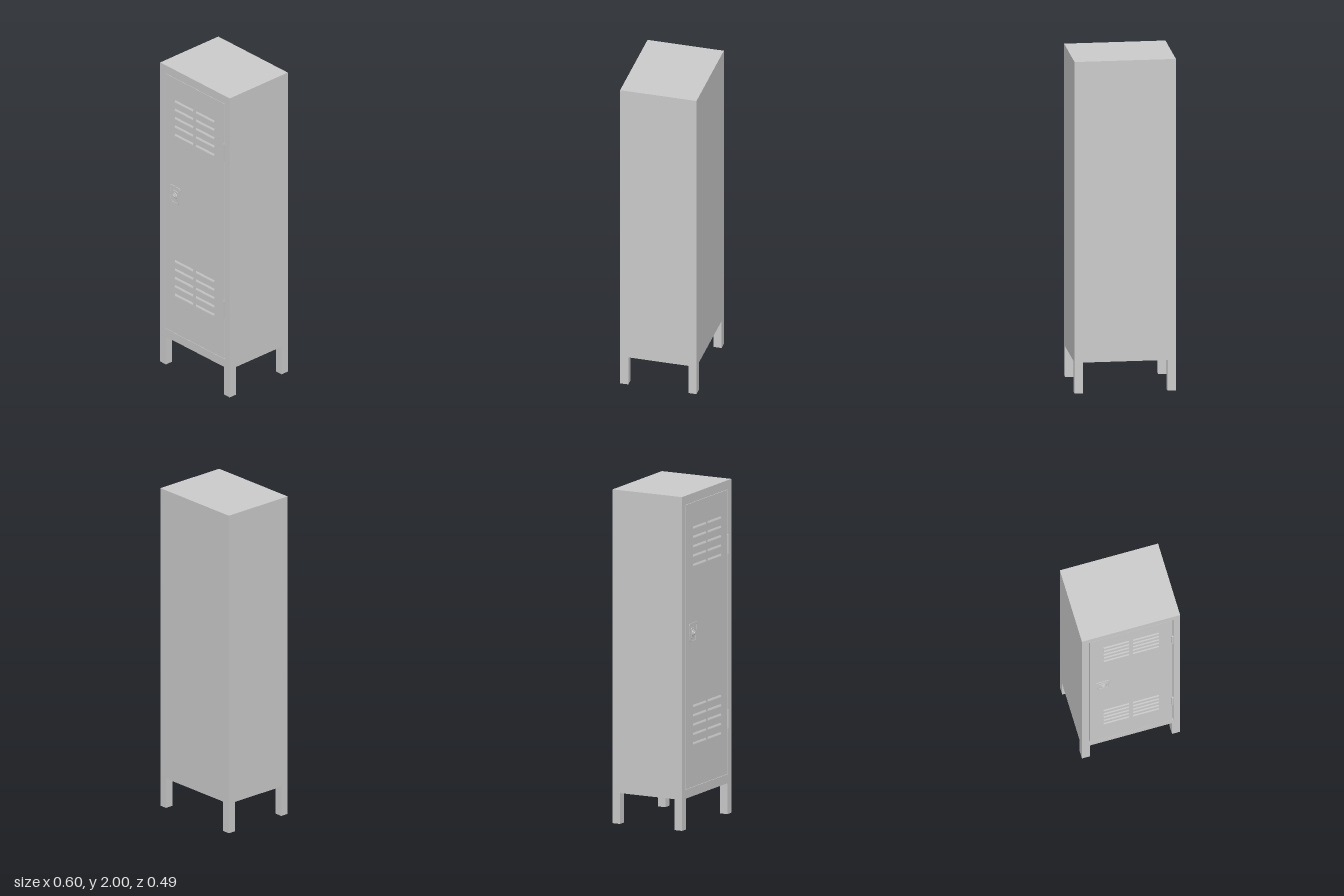
import * as THREE from 'three';

const FRONT = 0.222, BACK = -0.243, HALF_W = 0.3, BASE = 0.185, TOP = 2;
const SKIN = 0.012; // thickness of the front frame and door

const grey = new THREE.MeshStandardMaterial({ color: 0xcccccc });

function add(parent, name, geometry, x = 0, y = 0, z = 0) {
  const mesh = new THREE.Mesh(geometry, grey);
  mesh.name = name;
  mesh.position.set(x, y, z);
  parent.add(mesh);
  return mesh;
}

function rect(x0, y0, x1, y1, Type = THREE.Shape) {
  return new Type([[x0, y0], [x1, y0], [x1, y1], [x0, y1]].map(([x, y]) => new THREE.Vector2(x, y)));
}

const extrude = (shape, depth, curveSegments = 6) =>
  new THREE.ExtrudeGeometry(shape, { depth, bevelEnabled: false, curveSegments });

// Rounded outline that narrows towards the bottom, centred on the origin
function taperedOutline(topHalf, bottomHalf, halfH, r, Type = THREE.Shape) {
  const corners = [[-bottomHalf, -halfH], [bottomHalf, -halfH], [topHalf, halfH], [-topHalf, halfH]]
    .map(([x, y]) => new THREE.Vector2(x, y));
  const path = new Type();
  corners.forEach((c, i) => {
    const towards = (p) => c.clone().add(p.clone().sub(c).setLength(r));
    const a = towards(corners[(i + 3) % 4]), b = towards(corners[(i + 1) % 4]);
    if (i === 0) path.moveTo(a.x, a.y); else path.lineTo(a.x, a.y);
    path.quadraticCurveTo(c.x, c.y, b.x, b.y);
  });
  path.closePath();
  return path;
}

function createCabinet(root) {
  const depth = FRONT - SKIN - BACK;
  add(root, 'cabinetBody', new THREE.BoxGeometry(HALF_W * 2, TOP - BASE, depth),
    0, (TOP + BASE) / 2, BACK + depth / 2);

  // Front frame with the door opening
  const frame = rect(-HALF_W, BASE, HALF_W, TOP);
  frame.holes.push(rect(-0.258, 0.239, 0.258, 1.946, THREE.Path));
  add(root, 'frontFrame', extrude(frame, SKIN), 0, 0, FRONT - SKIN);

  // Flush door, leaving a narrow seam all round
  add(root, 'door', extrude(rect(-0.252, 0.241, 0.252, 1.944), SKIN), 0, 0, FRONT - SKIN);
}

// Square tube legs, open at the bottom
function createLegs(root) {
  const s = 0.025, t = 0.003;
  const section = rect(-s, -s, s, s);
  section.holes.push(rect(-s + t, -s + t, s - t, s - t, THREE.Path));
  const tube = extrude(section, BASE).rotateX(-Math.PI / 2);
  for (const x of [-1, 1]) {
    for (const [place, z] of [['front', FRONT - s], ['back', BACK + s]]) {
      add(root, `${place}${x > 0 ? 'Left' : 'Right'}Leg`, tube, x * (HALF_W - s), 0, z);
    }
  }
}

// Two columns of sloping vent hoods, upper and lower
function createVents(root) {
  const width = 0.157;
  const profile = new THREE.Shape([[0, -0.006], [0.005, -0.006], [0.004, -0.002], [0, 0.007]]
    .map(([x, y]) => new THREE.Vector2(x, y)));
  const hood = extrude(profile, width).translate(0, 0, -width / 2).rotateY(-Math.PI / 2);
  for (const [name, top] of [['upperVents', 1.793], ['lowerVents', 0.724]]) {
    const group = new THREE.Group();
    group.name = name;
    for (let row = 0; row < 5; row++) {
      for (const x of [-0.0915, 0.0905]) add(group, 'ventHood', hood, x, top - row * 0.056, FRONT);
    }
    root.add(group);
  }
}

function createHinges(root) {
  const barrel = new THREE.CylinderGeometry(0.005, 0.005, 0.115, 12);
  for (const [name, y] of [['upperHinge', 1.62], ['lowerHinge', 0.57]]) {
    add(root, name, barrel, 0.253, y, FRONT + 0.002);
  }
}

// Latch plate with a raised rim and a keyed knob
function createLatch(root) {
  const latch = new THREE.Group();
  latch.name = 'latch';
  latch.position.set(-0.172, 1.168, FRONT);
  root.add(latch);

  const rim = taperedOutline(0.047, 0.036, 0.056, 0.014);
  rim.holes.push(taperedOutline(0.041, 0.031, 0.05, 0.011, THREE.Path));
  add(latch, 'latchRim', extrude(rim, 0.004));
  add(latch, 'latchPlate', extrude(taperedOutline(0.042, 0.032, 0.051, 0.011), 0.0015));
  add(latch, 'fingerLift', extrude(taperedOutline(0.026, 0.022, 0.034, 0.012), 0.005), 0, -0.006, 0);

  const disc = (name, r, z0, z1) =>
    add(latch, name, new THREE.CylinderGeometry(r, r, z1 - z0, 24).rotateX(Math.PI / 2),
      0.002, -0.006, (z0 + z1) / 2);
  disc('knobFlange', 0.022, 0.004, 0.01);
  disc('knobCollar', 0.016, 0.009, 0.013);
  disc('knob', 0.011, 0.012, 0.019);
  add(latch, 'keySlot', new THREE.BoxGeometry(0.003, 0.012, 0.002), 0.002, -0.006, 0.019);
}

export function createModel() {
  const root = new THREE.Group();
  root.name = 'locker';
  createCabinet(root);
  createLegs(root);
  createVents(root);
  createHinges(root);
  createLatch(root);
  return root;
}
